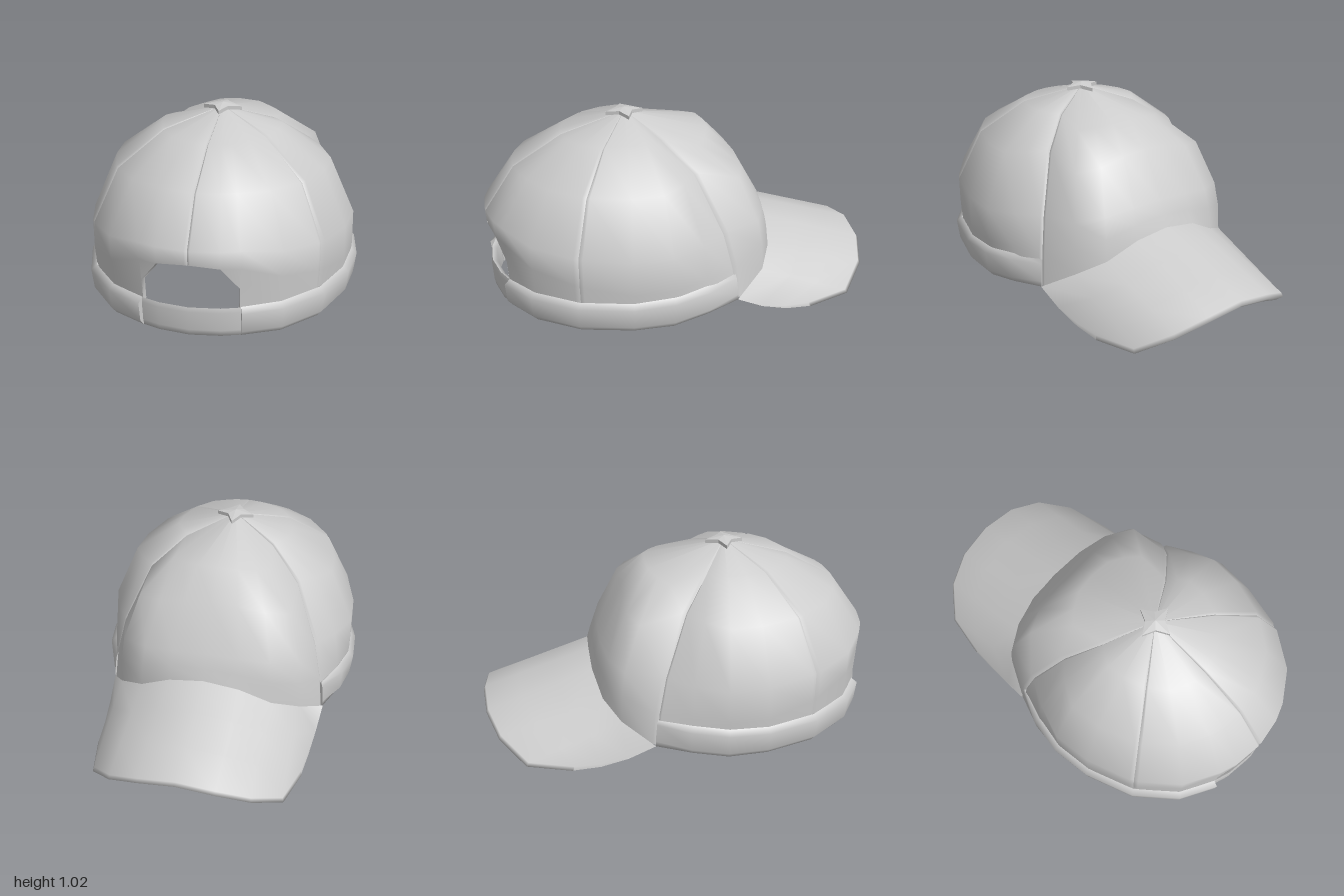
import * as THREE from 'three';

const cloth = new THREE.MeshStandardMaterial({ color: 0xcccccc, side: THREE.DoubleSide });
cloth.name = 'greyCloth';

const V = (x, y, z) => new THREE.Vector3(x, y, z);
const lerp = THREE.MathUtils.lerp;
const AXIS_Z = 0.27; // the crown button sits here

// Crown profiles from apex to hem: share of the plan radius, and height
const PROFILES = [
  { f: [0, 0.58, 0.75, 0.93, 0.97, 1], y: [1, 0.91, 0.78, 0.55, 0.48, 0.42] },     // front
  { f: [0, 0.53, 0.82, 0.96, 0.99, 1], y: [1, 0.875, 0.73, 0.51, 0.39, 0.25] },    // front shoulder
  { f: [0, 0.4, 0.68, 0.9, 0.97, 1], y: [1, 0.915, 0.785, 0.5, 0.32, 0.15] },      // front seam
  { f: [0, 0.46, 0.815, 1, 1, 0.97], y: [1, 0.92, 0.75, 0.47, 0.3, 0.1] },         // side
  { f: [0, 0.45, 0.79, 1, 0.99, 0.96], y: [1, 0.91, 0.77, 0.55, 0.46, 0.117] },    // rear
];
// Half plan, front to rear: x, z, profile position, lowest height (over the opening)
const PLAN = [
  [0, -0.44, 0], [0.18, -0.435, 0.15], [0.34, -0.395, 0.65], [0.475, -0.315, 1], [0.567, -0.155, 2],
  [0.62, 0.02, 2.5], [0.65, 0.2, 3], [0.635, 0.4, 3], [0.56, 0.65, 3.3],
  [0.41, 0.845, 3.6], [0.24, 0.948, 4], [0.235, 0.95, 4, 0.36], [0.15, 0.98, 4, 0.465], [0, 1, 4, 0.48],
];

function profile(p) {
  const i = Math.min(Math.floor(p), 3), t = p - i;
  const mix = (k) => PROFILES[i][k].map((v, n) => lerp(v, PROFILES[i + 1][k][n], t));
  return { f: mix('f'), y: mix('y') };
}

// Point on the crown at a plan entry and height, moved outward by off
function crownPoint([x, z, p], y, off = 0) {
  const { f, y: ys } = profile(p);
  let k = 0;
  while (k < 4 && ys[k + 1] > y) k++;
  const s = lerp(f[k], f[k + 1], (y - ys[k]) / (ys[k + 1] - ys[k]));
  const dz = z - AXIS_Z, r = Math.hypot(x, dz);
  // The front seams bow slightly to the rear
  const bow = 0.045 * Math.max(0, 1 - Math.abs(p - 2)) * Math.sin(Math.PI * s);
  return V(x * (s + off / r), y, AXIS_Z + dz * (s + off / r) + bow);
}

const crownColumn = (e) => profile(e[2]).y.map((y) => crownPoint(e, Math.max(y, e[3] ?? 0)));
const mirror = (cols) => cols.map((c) => c.map((v) => V(-v.x, v.y, v.z))).reverse();
const bothSides = (half) => [...mirror(half).slice(0, -1), ...half];

// Draws a point towards the middle of the cap
function shrink(v, k) {
  const mid = V(0, 0.25, AXIS_Z);
  return v.clone().sub(mid).multiplyScalar(k).add(mid);
}

// Underside of the visor below a point on its top
const VISOR_THICK = 0.04;
const below = (v, d) => V(v.x * (1 - 0.07 * d), v.y - VISOR_THICK * d, v.z + 0.015 * d);

// Smooth surface through columns of points
function loft(name, cols) {
  const rows = cols[0].length, points = cols.flat(), index = [];
  for (let i = 0; i < cols.length - 1; i++)
    for (let j = 0; j < rows - 1; j++) {
      const a = i * rows + j, b = a + rows;
      index.push(a, b, a + 1, b, b + 1, a + 1);
    }
  const g = new THREE.BufferGeometry().setFromPoints(points);
  g.setIndex(index);
  g.computeVertexNormals();
  // Share normals across very narrow strips, so they shade smoothly
  const n = g.attributes.normal;
  for (let a = 0; a < n.count - rows; a++) {
    const b = a + rows, d = points[a].distanceTo(points[b]);
    if (d < 1e-4 || d > 0.006) continue;
    const m = V().fromBufferAttribute(n, a).add(V().fromBufferAttribute(n, b)).normalize();
    n.setXYZ(a, m.x, m.y, m.z);
    n.setXYZ(b, m.x, m.y, m.z);
  }
  const mesh = new THREE.Mesh(g, cloth);
  mesh.name = name;
  return mesh;
}

// Sinks both edge columns so that neighbouring panels meet in a stitched groove
function withSeams(cols) {
  const sink = (c) => c.map((v, j) => (j ? shrink(v, 0.984) : v));
  const near = (a, b) => a.map((v, j) => v.clone().lerp(b[j], 0.09));
  const n = cols.length;
  return [sink(cols[0]), near(cols[0], cols[1]), ...cols.slice(1, -1),
    near(cols[n - 1], cols[n - 2]), sink(cols[n - 1])];
}

// Closes both ends of a lofted strip with sharp-edged caps
function capped(cols) {
  const cap = (c) => {
    const mid = V(0, 0, 0);
    c.slice(1).forEach((v) => mid.add(v));
    mid.divideScalar(c.length - 1);
    return c.map(() => mid.clone());
  };
  const a = cols[0], b = cols[cols.length - 1];
  return [cap(a), a, ...cols, b, cap(b)];
}

// Closed hem section around the crown edge
function hemColumn(e, top, bulge) {
  const base = profile(e[2]).y[5], h = top - base;
  return [[0, 1], [bulge, 0.84], [0.85 * bulge, 0.2], [0.1 * bulge, 0], [-0.022, 0.02], [-0.022, 0.9], [0, 1]]
    .map(([o, t]) => crownPoint(e, base + h * t, o));
}

function makeVisor() {
  // Outer edge from the tip to the side corner
  const outer = [[0, 0.233, -0.99], [0.19, 0.203, -0.975], [0.35, 0.14, -0.915], [0.48, 0.052, -0.785], [0.53, 0.04, -0.56]];
  const steps = [0, 0.33, 0.67, 1];
  const half = outer.map((o, i) => {
    const a = crownColumn(PLAN[i])[5], b = V(...o);
    const top = steps.map((t) => {
      const q = a.clone().lerp(b, t);
      if (i === 4) q.y -= 0.03 * Math.sin(Math.PI * t);
      return q;
    });
    const rim = b.clone().add(V(b.x * 0.01, -VISOR_THICK / 2, -0.01));
    // The side edge thins out towards its corner
    const under = top.map((v, j) => below(v, i === 4 ? steps[j] : 1)).reverse();
    return [...top, rim, ...under];
  });
  // Rounded side edge, where the top and underside meet
  const last = half[4];
  half.push(last.map((v, j) => {
    const k = j < 4 ? j : Math.min(8 - j, 3);
    return last[k].clone().add(V(0.003, -VISOR_THICK / 2 * steps[k], 0));
  }));
  return loft('visor', bothSides(half));
}

function makeButton() {
  // Four-pointed star with drooping tips and a raised middle
  const g0 = new THREE.CylinderGeometry(0.095, 0.095, 0.018, 8);
  const p = g0.attributes.position;
  for (let i = 0; i < p.count; i++) {
    const x = p.getX(i), y = p.getY(i), z = p.getZ(i);
    const r = Math.hypot(x, z);
    if (r < 1e-4) p.setY(i, y + 0.01);
    else if (Math.min(Math.abs(x), Math.abs(z)) > 0.01) p.setXYZ(i, x * 0.5, y, z * 0.5);
    else p.setY(i, y - 0.009);
  }
  const g = g0.toNonIndexed();
  g.computeVertexNormals();
  const m = new THREE.Mesh(g, cloth);
  m.name = 'crownButton';
  m.position.set(0, 1.001, AXIS_Z);
  return m;
}

export function createModel() {
  const cap = new THREE.Group();
  cap.name = 'baseballCap';
  const cols = PLAN.map(crownColumn);

  // Crown panels
  cap.add(loft('frontPanel', withSeams(bothSides(cols.slice(0, 5)))));
  const side = withSeams(cols.slice(4, 9)), rear = withSeams(cols.slice(8));
  cap.add(loft('leftSidePanel', side), loft('rightSidePanel', mirror(side)));
  cap.add(loft('leftRearPanel', rear), loft('rightRearPanel', mirror(rear)));

  // Seamless inner lining, facing inward and meeting the visor underside
  const lining = cols.map((c, i) => c.map((v, j) => (i < 4 && j === 5 ? below(v, 1) : shrink(v, 0.965))));
  cap.add(loft('lining', [...lining, ...mirror(lining).slice(1)].reverse()));

  // Folded hem, tapering off at the visor
  const hem = capped(PLAN.slice(4, 11).map((e, i) =>
    hemColumn(e, [0.29, 0.28, 0.265, 0.255, 0.26, 0.265, 0.265][i], i === 0 ? 0.006 : 0.032)));
  cap.add(loft('leftHem', hem), loft('rightHem', mirror(hem)));

  // Rear strap across the opening
  const strap = PLAN.slice(10).map((e) => hemColumn(e, 0.262, 0.006));
  cap.add(loft('rearStrap', capped([...strap, ...mirror(strap).slice(1)])));

  // Turned edge of the rear opening, joining crown and lining
  const edge = [[11, 0.25], [11, 0.36], [12, 0.465], [13, 0.48]].map(([i, y]) => {
    const v = crownPoint(PLAN[i], y);
    return [v, shrink(v, 0.965)];
  });
  cap.add(loft('openingEdge', [...edge, ...mirror(edge).slice(1)]));

  cap.add(makeVisor(), makeButton());
  return cap;
}
